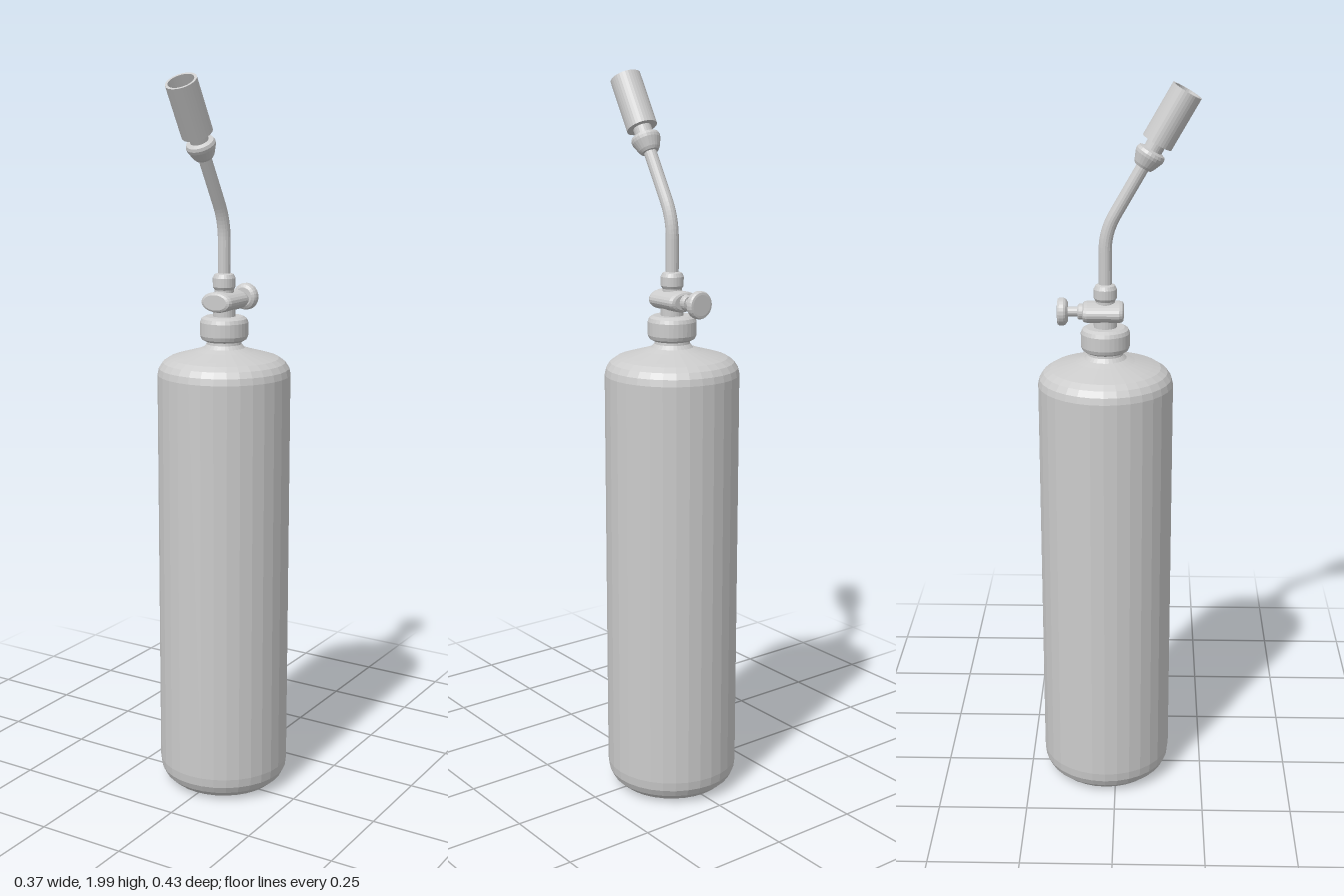
import * as THREE from 'three';

const AXIS_Z = -0.029; // centre line of the tank

const material = new THREE.MeshStandardMaterial({
  color: 0xcccccc, flatShading: true, side: THREE.DoubleSide,
});

// Turned part from [radius, height] pairs, listed bottom to top
function turned(name, profile, sides = 32) {
  const points = profile.map(([r, y]) => new THREE.Vector2(r, y));
  const mesh = new THREE.Mesh(new THREE.LatheGeometry(points, sides), material);
  mesh.name = name;
  return mesh;
}

export function createModel() {
  const model = new THREE.Group();
  model.name = 'gasTorch';

  // Everything on the tank's centre line
  const body = new THREE.Group();
  body.name = 'body';
  body.position.z = AXIS_Z;
  model.add(body);

  body.add(turned('tank', [
    [0, 0.005], [0.125, 0.005], [0.15, 0.012], [0.17, 0.03], [0.18, 0.05], [0.183, 0.075],
    [0.183, 1.2], [0.179, 1.218], [0.168, 1.234], [0.15, 1.246], [0.13, 1.252],
    [0.08, 1.266], [0.057, 1.274], [0.048, 1.284], [0.046, 1.3], [0, 1.3],
  ]));
  body.add(turned('neckNut', [
    [0, 1.292], [0.052, 1.292], [0.062, 1.298], [0.066, 1.308], [0.066, 1.344],
    [0.062, 1.354], [0.052, 1.36], [0, 1.36],
  ]));
  body.add(turned('valveNeck', [[0.031, 1.355], [0.031, 1.4]], 24));
  body.add(turned('tubeCollar', [
    [0.026, 1.41], [0.026, 1.432], [0.031, 1.44], [0.031, 1.464], [0.026, 1.474], [0.017, 1.477],
  ], 24));

  // Valve: parts turned about an axis that points to the back
  const valve = new THREE.Group();
  valve.name = 'valve';
  valve.position.y = 1.401;
  valve.rotation.x = -Math.PI / 2;
  body.add(valve);

  const valveBody = turned('valveBody', [
    [0, -0.049], [0.036, -0.049], [0.044, -0.046], [0.048, -0.038], [0.048, 0.048],
    [0.044, 0.057], [0.036, 0.06], [0, 0.06],
  ], 24);
  valveBody.scale.z = 0.58; // flattened in height
  valve.add(valveBody);
  valve.add(turned('valveGland', [[0.021, 0.055], [0.021, 0.07], [0.017, 0.074], [0, 0.074]], 20));
  valve.add(turned('valveStem', [[0.013, 0.06], [0.013, 0.105]], 16));
  valve.add(turned('valveKnob', [
    [0, 0.1], [0.026, 0.1], [0.034, 0.105], [0.037, 0.111], [0.037, 0.122],
    [0.034, 0.127], [0.028, 0.128], [0, 0.128],
  ], 24));

  // Bent tube, tilted forward above the elbow
  const tilt = Math.PI / 6;
  const elbow = new THREE.Vector3(0, 1.617, 0);
  const alongTilt = (s) => new THREE.Vector3(0, Math.cos(tilt) * s, Math.sin(tilt) * s).add(elbow);
  const path = new THREE.CurvePath();
  const bendStart = new THREE.Vector3(0, 1.565, 0);
  path.add(new THREE.LineCurve3(new THREE.Vector3(0, 1.46, 0), bendStart));
  path.add(new THREE.QuadraticBezierCurve3(bendStart, elbow, alongTilt(0.052)));
  path.add(new THREE.LineCurve3(alongTilt(0.052), alongTilt(0.22)));
  const tube = new THREE.Mesh(new THREE.TubeGeometry(path, 32, 0.0175, 16), material);
  tube.name = 'bentTube';
  body.add(tube);

  // Burner head, built along the tilted axis
  const burner = new THREE.Group();
  burner.name = 'burner';
  burner.position.copy(elbow);
  burner.rotation.x = tilt;
  body.add(burner);

  burner.add(turned('burnerCup', [
    [0.017, 0.194], [0.024, 0.195], [0.029, 0.202], [0.039, 0.226], [0.04, 0.234],
    [0.037, 0.242], [0.025, 0.246], [0, 0.246],
  ], 24));
  burner.add(turned('burnerNeck', [[0.025, 0.24], [0.025, 0.272]], 24));
  // Outer wall, rim, then down the open bore to its floor
  burner.add(turned('burnerNozzle', [
    [0, 0.267], [0.042, 0.267], [0.042, 0.417], [0.035, 0.417], [0.035, 0.342], [0, 0.342],
  ]));

  return model;
}
